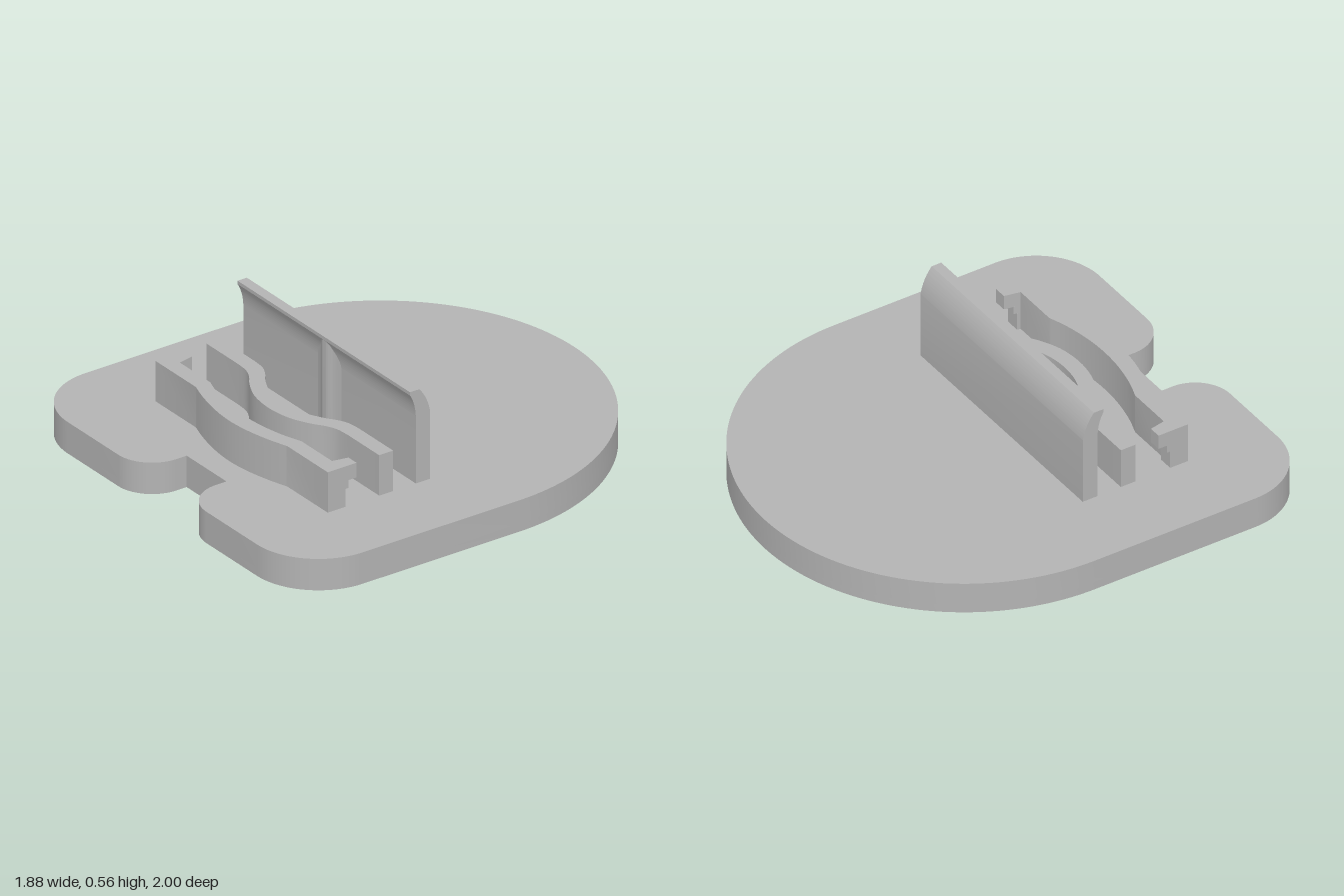
import * as THREE from 'three';
import { toCreasedNormals } from 'three/addons/utils/BufferGeometryUtils.js';

const grey = new THREE.MeshStandardMaterial({ color: 0xb3b3b3 });
grey.name = 'grey plastic';

const BASE_TOP = 0.14, STRIP_TOP = 0.32, HALF = 0.585;

function extrude(shape, depth) {
  return new THREE.ExtrudeGeometry(shape, { depth, bevelEnabled: false, curveSegments: 40 });
}

function addMesh(group, name, geometry) {
  const mesh = new THREE.Mesh(toCreasedNormals(geometry, 0.5), grey);
  mesh.name = name;
  group.add(mesh);
}

// Plan outlines are drawn as (x, -z) and raised from y0 to y1.
function raise(shape, y0, y1) {
  return extrude(shape, y1 - y0).rotateX(-Math.PI / 2).translate(0, y0, 0);
}

// Side profiles are drawn as (-z, y) and run along x.
function runAlongX(shape, x0, x1) {
  return extrude(shape, x1 - x0).rotateY(Math.PI / 2).translate(x0, 0, 0);
}

// Smooth edge mirrored about x = 0, from [x, z] points of the +x half.
function mirroredEdge(half) {
  const left = half.slice(1).reverse().map(([x, z]) => new THREE.Vector2(-x, -z));
  const right = half.map(([x, z]) => new THREE.Vector2(x, -z));
  return new THREE.SplineCurve([...left, ...right]).getPoints(48);
}

function stripShape(frontHalf, backHalf, frontZ, backZ) {
  return new THREE.Shape([
    new THREE.Vector2(-HALF, -frontZ), ...mirroredEdge(frontHalf), new THREE.Vector2(HALF, -frontZ),
    new THREE.Vector2(HALF, -backZ), ...mirroredEdge(backHalf).reverse(), new THREE.Vector2(-HALF, -backZ),
  ]);
}

// Round back, rounded front corners and a cable notch at the front.
function baseShape() {
  const s = new THREE.Shape();
  s.moveTo(0.94, 0.06);
  s.absarc(0, 0.06, 0.94, 0, Math.PI, false);
  s.lineTo(-0.94, -0.7);
  s.absarc(-0.64, -0.7, 0.3, Math.PI, Math.PI * 1.5, false);
  s.lineTo(-0.3, -1);
  s.absarc(-0.3, -0.835, 0.165, Math.PI * 1.5, Math.PI * 2, false);
  s.lineTo(-0.135, -0.785);
  s.lineTo(0.135, -0.785);
  s.lineTo(0.135, -0.835);
  s.absarc(0.3, -0.835, 0.165, Math.PI, Math.PI * 1.5, false);
  s.lineTo(0.64, -1);
  s.absarc(0.64, -0.7, 0.3, Math.PI * 1.5, Math.PI * 2, false);
  s.closePath();
  return s;
}

export function createModel() {
  const model = new THREE.Group();
  model.name = 'standBase';

  // Base plate with a shallow round recess underneath
  const rim = baseShape();
  rim.holes.push(new THREE.Path().absarc(0, 0.06, 0.76, 0, Math.PI * 2, true));
  addMesh(model, 'baseRim', raise(rim, 0, 0.035));
  addMesh(model, 'basePlate', raise(baseShape(), 0.035, BASE_TOP));

  // Tall back wall, its top curling forward
  const wall = new THREE.Shape();
  wall.moveTo(-0.187, BASE_TOP);
  wall.lineTo(-0.117, BASE_TOP);
  wall.lineTo(-0.117, 0.44);
  wall.quadraticCurveTo(-0.13, 0.51, -0.17, 0.555);
  wall.lineTo(-0.215, 0.555);
  wall.lineTo(-0.215, 0.54);
  wall.quadraticCurveTo(-0.19, 0.5, -0.187, 0.44);
  wall.closePath();
  addMesh(model, 'backWall', runAlongX(wall, -HALF, HALF));

  // Soft central rib on the front of the wall
  const rib = new THREE.Shape([
    ...mirroredEdge([[0, 0.214], [0.02, 0.21], [0.045, 0.197], [0.08, 0.187]]),
    new THREE.Vector2(0.08, -0.175), new THREE.Vector2(-0.08, -0.175),
  ]);
  addMesh(model, 'wallRib', raise(rib, BASE_TOP, 0.545));

  // Wavy middle strip
  const middle = stripShape(
    [[0, 0.485], [0.11, 0.471], [0.2, 0.432], [0.26, 0.392], [0.31, 0.371], [0.37, 0.365]],
    [[0, 0.415], [0.1, 0.402], [0.19, 0.362], [0.24, 0.328], [0.29, 0.304], [0.35, 0.297]],
    0.365, 0.297);
  addMesh(model, 'middleStrip', raise(middle, BASE_TOP, STRIP_TOP));

  // Bowed front strip
  const front = stripShape(
    [[0, 0.675], [0.11, 0.666], [0.22, 0.643], [0.31, 0.615]],
    [[0, 0.602], [0.11, 0.595], [0.22, 0.574], [0.31, 0.545]],
    0.615, 0.545);
  addMesh(model, 'frontStrip', raise(front, BASE_TOP, STRIP_TOP));

  // Stepped hooks at both ends of the front strip
  const hookSteps = [[0.475, 0.255, STRIP_TOP], [0.515, 0.22, 0.255], [0.53, BASE_TOP, 0.22]];
  for (const side of [-1, 1]) {
    for (const [backZ, y0, y1] of hookSteps) {
      const innerX = 0.515 + 0.015 * (0.545 - backZ) / 0.07;
      const plan = new THREE.Shape([
        new THREE.Vector2(side * HALF, -0.55), new THREE.Vector2(side * 0.515, -0.55),
        new THREE.Vector2(side * innerX, -backZ), new THREE.Vector2(side * HALF, -backZ),
      ]);
      addMesh(model, side > 0 ? 'leftHook' : 'rightHook', raise(plan, y0, y1));
    }
  }
  return model;
}
